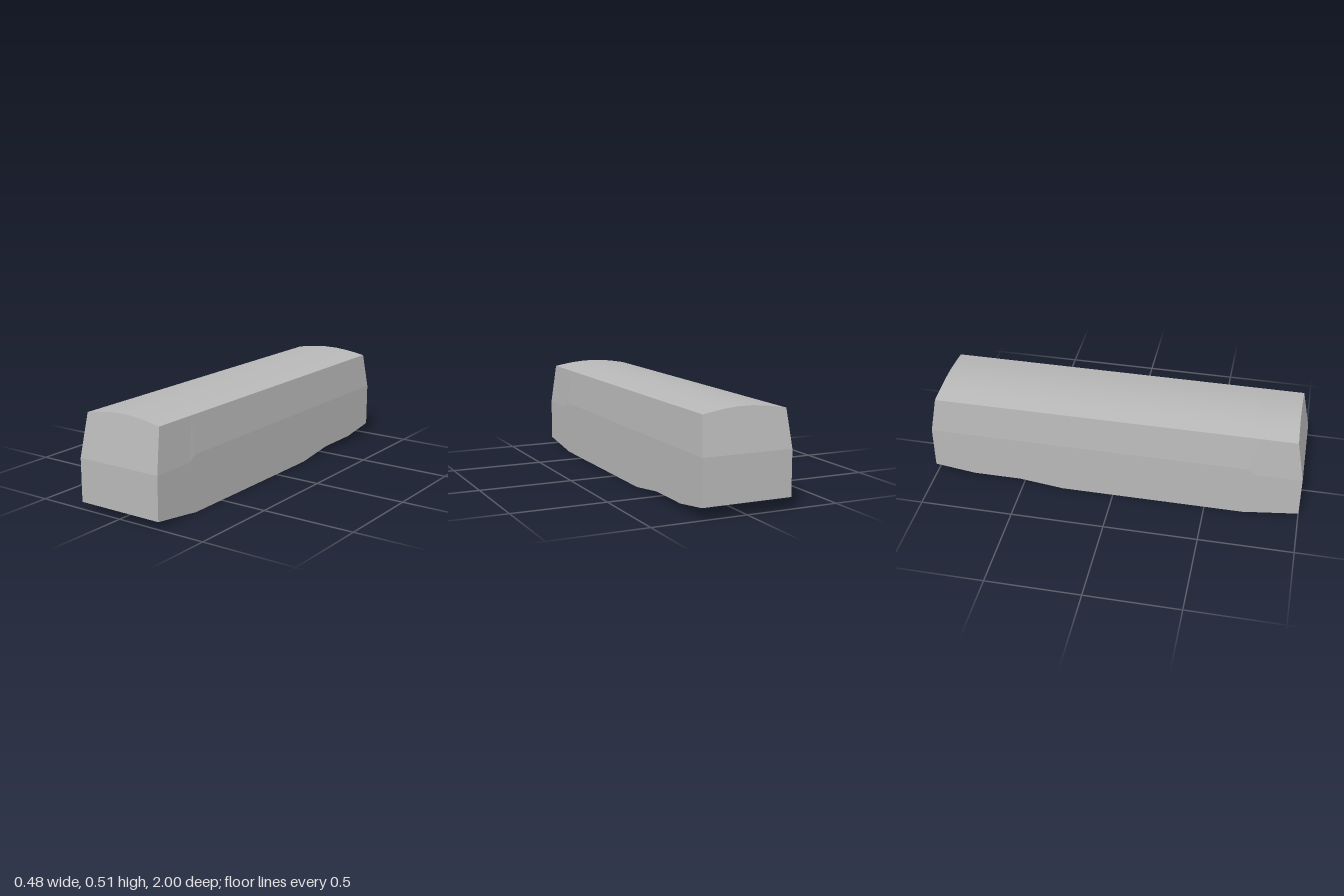
import * as THREE from 'three';
import { mergeVertices } from 'three/addons/utils/BufferGeometryUtils.js';

// Stations from front to back: z, underside height, shoulder height, inward lean of the end
const STATIONS = [
  [1, 0.038, 0.265, 0.19],
  [0.76, 0.007, 0.265, 0],
  [0.715, 0, 0.295, 0],
  [-0.28, 0, 0.295, 0],
  [-0.52, 0.03, 0.295, 0],
  [-0.78, 0.03, 0.295, 0],
  [-1, 0.06, 0.295, -0.17],
];
// Cambered roof from one eave to the other
const ROOF = [[0.223, 0.489], [0.165, 0.499], [0.11, 0.507], [0.04, 0.513],
  [-0.04, 0.513], [-0.11, 0.507], [-0.165, 0.499], [-0.223, 0.489]];
const HALF = 0.241;

// Cross-section ring, counterclockwise seen from the front
function ring([z, bottom, shoulder, lean]) {
  return [[HALF, bottom], [HALF, shoulder], ...ROOF, [-HALF, shoulder], [-HALF, bottom]]
    .map(([x, y]) => [x, y, z - lean * Math.max(0, y - shoulder)]);
}

function fan(out, pts) {
  for (let i = 1; i < pts.length - 1; i++) out.push(...pts[0], ...pts[i], ...pts[i + 1]);
}

export function createModel() {
  const group = new THREE.Group();
  const paint = new THREE.MeshStandardMaterial({ color: 0xb8b8b8 });
  paint.name = 'light grey';
  const rings = STATIONS.map(ring);
  const n = rings[0].length;

  function add(name, positions, smooth = false) {
    let geo = new THREE.BufferGeometry();
    geo.setAttribute('position', new THREE.Float32BufferAttribute(positions, 3));
    if (smooth) geo = mergeVertices(geo);
    geo.computeVertexNormals();
    const mesh = new THREE.Mesh(geo, paint);
    mesh.name = name;
    group.add(mesh);
  }

  // Skin over a range of ring edges, running the whole length
  function skin(from, to) {
    const out = [];
    for (let s = 0; s < rings.length - 1; s++) {
      for (let k = from; k < to; k++) {
        const j = (k + 1) % n;
        fan(out, [rings[s][k], rings[s + 1][k], rings[s + 1][j], rings[s][j]]);
      }
    }
    return out;
  }

  add('leftSide', skin(0, 2));
  add('roof', skin(2, n - 3), true);
  add('rightSide', skin(n - 3, n - 1));
  add('underside', skin(n - 1, n));

  // End panels: upright lower half and leaning upper half
  function end(name, r, flip) {
    const out = [];
    const lower = [r[0], r[1], r[n - 2], r[n - 1]];
    const upper = r.slice(1, n - 1);
    for (const face of [lower, upper]) fan(out, flip ? face.reverse() : face);
    add(name, out);
  }
  end('frontPanel', rings[0], false);
  end('rearPanel', rings[rings.length - 1], true);

  return group;
}
